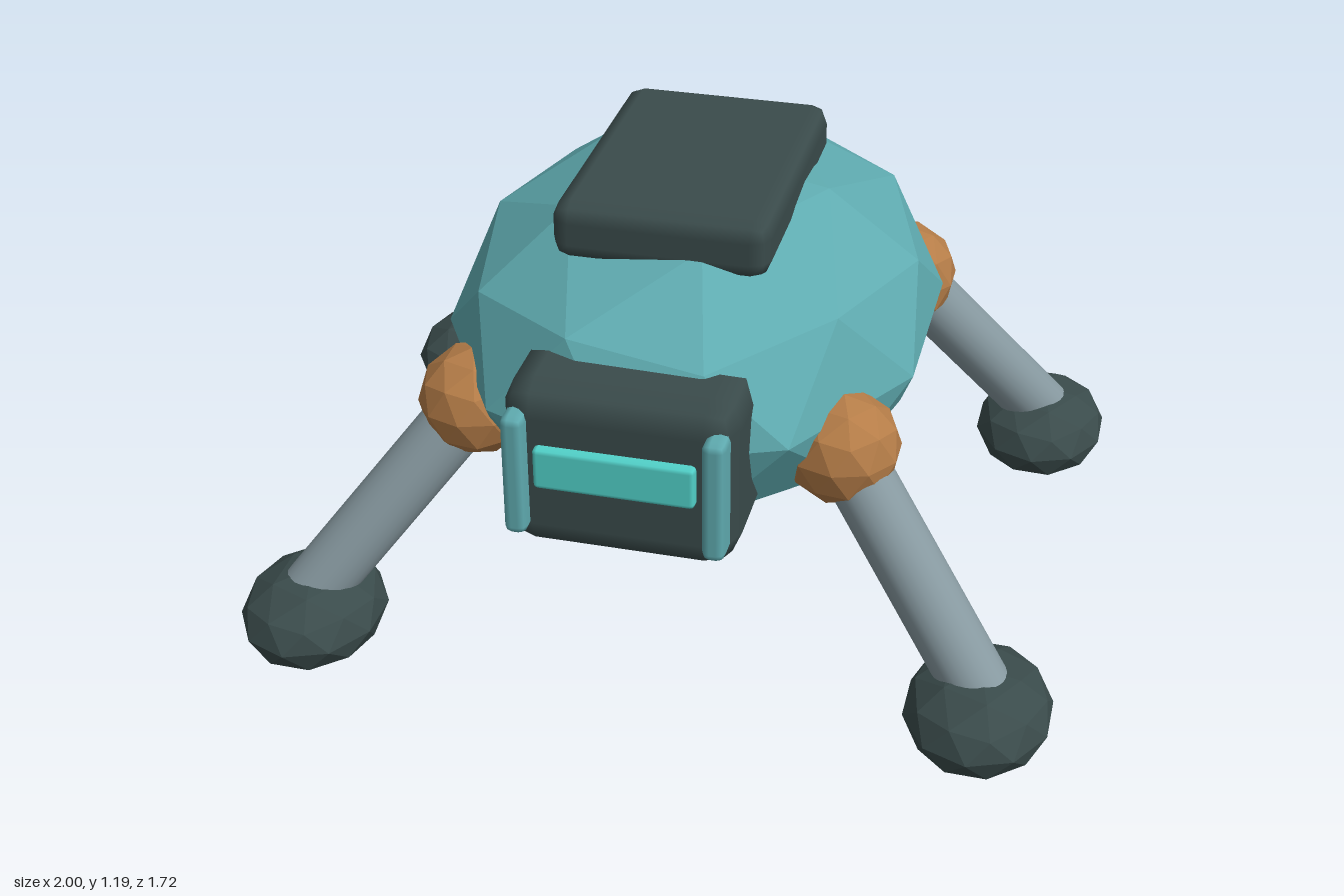
import * as THREE from 'three';
import { RoundedBoxGeometry } from 'three/addons/geometries/RoundedBoxGeometry.js';

const material = (name, color) => {
  const m = new THREE.MeshStandardMaterial({ color });
  m.name = name;
  return m;
};

// Faceted ball with a five-fold pole on y, stretched to the given radii
function facetedBall(rx, ry, rz) {
  const g = new THREE.IcosahedronGeometry(1, 1);
  g.rotateX(-Math.atan((1 + Math.sqrt(5)) / 2));
  g.rotateY(Math.PI / 2);
  g.scale(rx, ry, rz);
  g.computeVertexNormals(); // unshared corners give flat facets
  return g;
}

export function createModel() {
  const model = new THREE.Group();
  model.name = 'fourLeggedRobot';

  const teal = material('teal shell', 0x5fabb0);
  const dark = material('dark slate', 0x3a4b4b);
  const grey = material('grey metal', 0x8799a0);
  const copper = material('copper', 0xb57d48);
  const cyan = material('cyan glow', 0x52d2ca);

  const add = (name, geometry, mat, x, y, z, parent = model) => {
    const mesh = new THREE.Mesh(geometry, mat);
    mesh.name = name;
    mesh.position.set(x, y, z);
    parent.add(mesh);
    return mesh;
  };

  // Shell and back plate
  add('body', facetedBall(0.61, 0.415, 0.77), teal, 0, 0.75, 0);
  add('backPlate', new RoundedBoxGeometry(0.52, 0.145, 0.73, 1, 0.045), dark, 0, 1.118, 0.047);

  // Head with visor and side bars
  const head = new THREE.Group();
  head.name = 'head';
  model.add(head);
  add('headBox', new RoundedBoxGeometry(0.55, 0.43, 0.34, 1, 0.075), dark, 0, 0.715, 0.625, head);
  add('visor', new RoundedBoxGeometry(0.375, 0.105, 0.06, 1, 0.012), cyan, 0, 0.737, 0.788, head);
  for (const side of [-1, 1]) {
    add('faceBar', new RoundedBoxGeometry(0.055, 0.31, 0.08, 1, 0.02), teal, side * 0.231, 0.713, 0.79, head);
  }

  // Four legs: joint, strut and foot
  const up = new THREE.Vector3(0, 1, 0);
  for (const sx of [-1, 1]) {
    for (const sz of [-1, 1]) {
      const leg = new THREE.Group();
      leg.name = (sz > 0 ? 'front' : 'back') + (sx > 0 ? 'Left' : 'Right') + 'Leg';
      model.add(leg);

      const hip = new THREE.Vector3(sx * 0.45, 0.66, sz * 0.437);
      const ankle = new THREE.Vector3(sx * 0.83, 0.17, sz * 0.645);
      const along = ankle.clone().sub(hip);
      const mid = hip.clone().add(ankle).multiplyScalar(0.5);

      add('joint', facetedBall(0.14, 0.14, 0.14), copper, hip.x, hip.y, hip.z, leg);
      const strut = add('strut', new THREE.CylinderGeometry(0.08, 0.08, along.length(), 24), grey,
        mid.x, mid.y, mid.z, leg);
      strut.quaternion.setFromUnitVectors(up, along.normalize());
      add('foot', facetedBall(0.178, 0.117, 0.214), dark, sx * 0.83, 0.118, sz * 0.647, leg);
    }
  }
  return model;
}
